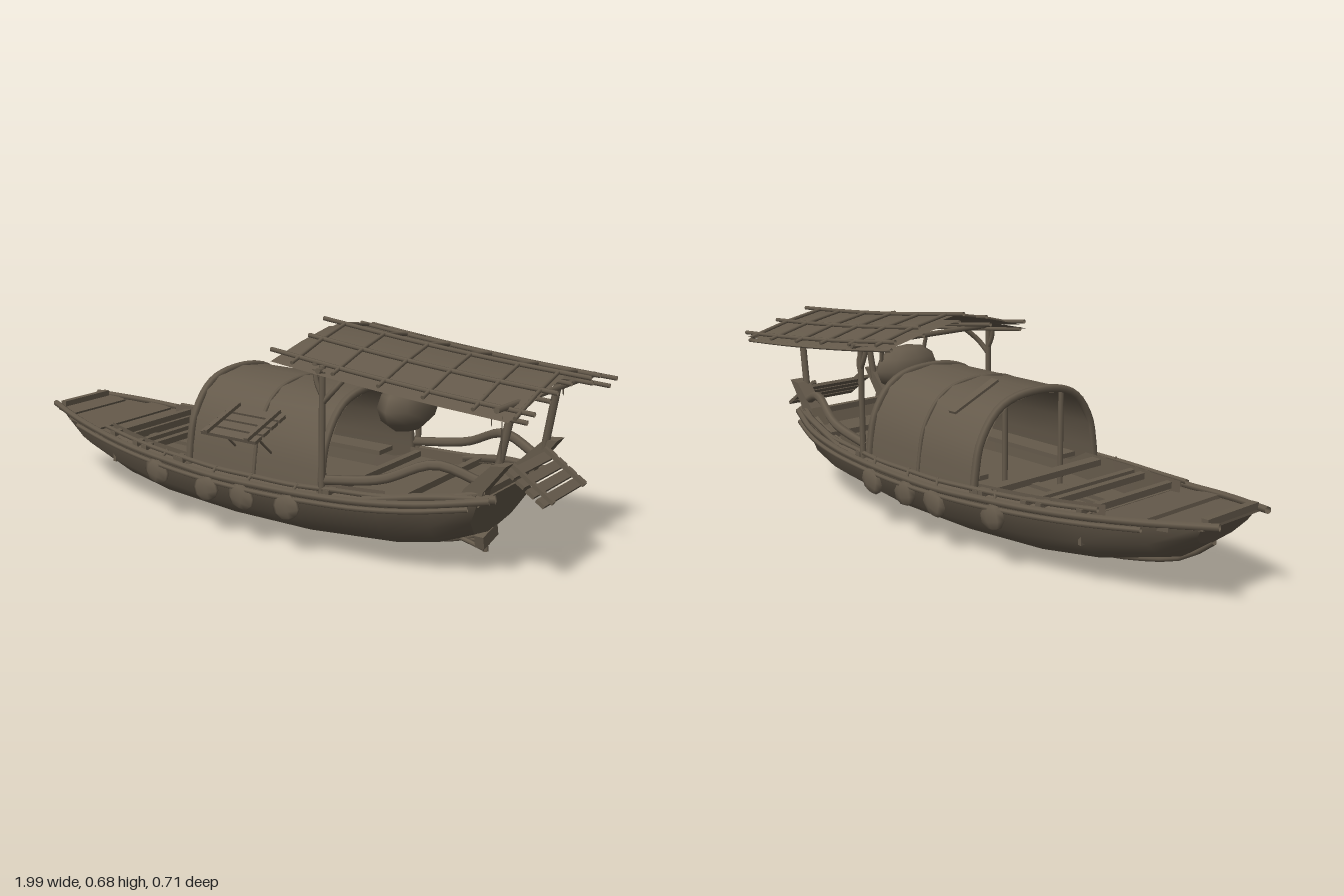
import * as THREE from 'three';

// hull stations: x at sheer, x at keel, sheer height, keel height, half width
const ST = [
  [-0.95, -0.9, 0.25, 0.17, 0.12], [-0.8, -0.8, 0.235, 0.1, 0.175], [-0.6, -0.6, 0.215, 0.045, 0.225],
  [-0.4, -0.4, 0.205, 0.02, 0.27], [-0.1, -0.1, 0.195, 0.01, 0.305], [0.2, 0.2, 0.195, 0.012, 0.305],
  [0.5, 0.5, 0.21, 0.035, 0.28], [0.65, 0.63, 0.23, 0.06, 0.25], [0.78, 0.72, 0.25, 0.1, 0.2]];
// hull half section: share of half width, share of height
const PROFILE = [[1, 1], [0.92, 0.55], [0.7, 0.3], [0.57, 0.17], [0, 0]];
// awning section: position across, drop below the ridge
const ACROSS = [-1, -0.5, 0, 0.5, 1];
const DROP = [-0.062, -0.026, 0, -0.026, -0.062];

// sheer height and half width at any x
function at(x) {
  let i = 0;
  while (i < ST.length - 2 && x > ST[i + 1][0]) i++;
  const a = ST[i], b = ST[i + 1], t = (x - a[0]) / (b[0] - a[0]);
  return { y: a[2] + (b[2] - a[2]) * t, w: a[4] + (b[4] - a[4]) * t };
}

// point on the awning at length x and position u across, raised by lift
function roofAt(x, u, lift = 0) {
  const k = Math.max(0, Math.min(3, Math.floor((u + 1) * 2)));
  const t = (u - ACROSS[k]) / 0.5;
  const ridge = 0.66 - 0.09 * (x - 0.15) + 0.045 * (x - 0.15) * (x - 0.95);
  return [x, ridge + DROP[k] + (DROP[k + 1] - DROP[k]) * t + lift, u * 0.3 - 0.01 - 0.02 * (x - 0.5)];
}

export function createModel() {
  const root = new THREE.Group();
  const boat = new THREE.Group();
  boat.name = 'boat';
  boat.position.z = -0.025;
  root.add(boat);
  const wood = new THREE.MeshStandardMaterial({ color: 0x655a4b, side: THREE.DoubleSide });
  wood.name = 'weathered brown wood';

  const add = (name, geo, parent = boat) => {
    const m = new THREE.Mesh(geo, wood);
    m.name = name;
    parent.add(m);
    return m;
  };
  const box = (name, w, h, d, x, y, z, parent) => {
    const m = add(name, new THREE.BoxGeometry(w, h, d), parent);
    m.position.set(x, y, z);
    return m;
  };
  const pole = (name, a, b, r) => {
    const p = new THREE.Vector3(...a), q = new THREE.Vector3(...b);
    const m = add(name, new THREE.CylinderGeometry(r, r, p.distanceTo(q), 7));
    m.position.copy(p).add(q).multiplyScalar(0.5);
    m.quaternion.setFromUnitVectors(new THREE.Vector3(0, 1, 0), q.sub(p).normalize());
  };
  const tube = (name, pts, r, seg = 24) => add(name, new THREE.TubeGeometry(
    new THREE.CatmullRomCurve3(pts.map(p => new THREE.Vector3(...p))), seg, r, 6));
  // skin through rows of points
  const loft = (name, rows) => {
    const n = rows[0].length, idx = [];
    for (let i = 0; i < rows.length - 1; i++) for (let j = 0; j < n - 1; j++) {
      const a = i * n + j, b = a + n;
      idx.push(a, a + 1, b, b, a + 1, b + 1);
    }
    const g = new THREE.BufferGeometry();
    g.setAttribute('position', new THREE.Float32BufferAttribute(rows.flat(2), 3));
    g.setIndex(idx);
    g.computeVertexNormals();
    add(name, g);
  };

  // hull, bow plate, transom, keel
  const rows = ST.map(([xt, xb, yt, yb, w]) => {
    const half = PROFILE.map(([fw, fy]) => [xb + (xt - xb) * fy, yb + (yt - yb) * fy, w * fw]);
    return [...half, ...half.slice(0, -1).reverse().map(([x, y, z]) => [x, y, -z])];
  });
  loft('hull', rows);
  for (const [name, r] of [['bowPlate', rows[0]], ['transom', rows[8]]])
    loft(name, [r.map(p => [r[0][0], r[0][1], p[2]]), r]);
  tube('keel', ST.map(s => [s[1], s[3], 0]), 0.011);

  for (const s of [-1, 1]) {
    // gunwale poles following the sheer
    const line = (dw, dy, x0, x1) => Array.from({ length: 11 }, (_, i) => {
      const x = x0 + (x1 - x0) * i / 10, p = at(x);
      return [x, p.y + dy, s * (p.w + dw)];
    });
    tube('gunwale', line(0.002, 0.004, -0.995, 0.81), 0.011, 36);
    tube('rubbingStrake', line(0.012, -0.014, -0.8, 0.76), 0.008, 36);
    tube('innerRail', line(-0.02, 0.022, -0.65, 0.79), 0.008, 36);
    // side decks and coaming
    loft('sideDeck', [line(0, 0, -0.62, 0.76), line(-0.05, 0.012, -0.62, 0.76)]);
    loft('coaming', [line(-0.05, 0.03, -0.65, 0.5), line(-0.055, -0.07, -0.65, 0.5)]);
    // fender bundles hanging from the sides
    [-0.33, -0.1, 0.04, 0.21].forEach((x, i) => {
      const p = at(x);
      const f = add('fender', new THREE.SphereGeometry(1, 7, 5));
      f.scale.set(0.052, 0.04, 0.014);
      f.position.set(x, p.y - 0.04, s * (p.w + 0.012));
      f.rotation.z = i % 2 ? 0.3 : -0.25;
      pole('fenderRope', [x, p.y - 0.02, s * (p.w + 0.012)], [x + 0.02, p.y + 0.03, s * (p.w - 0.02)], 0.005);
    });
  }

  // stepped foredeck planks, floors and cross beams
  for (let i = 0; i < 4; i++) {
    const x = -0.915 + i * 0.088, p = at(x);
    box('foredeckPlank', 0.086, 0.012, p.w * 2 - 0.01, x, p.y - 0.003 - (i % 2) * 0.008, 0).rotation.z = -0.13;
  }
  const floor = (name, x0, x1, y, inset) => loft(name, [-1, 1].map(s => Array.from({ length: 7 }, (_, i) => {
    const x = x0 + (x1 - x0) * i / 6;
    return [x, y, -s * (at(x).w - inset)];
  })));
  floor('wellFloor', -0.62, 0.32, 0.14, 0.03);
  floor('aftDeck', 0.3, 0.76, 0.205, 0.02);
  for (let i = 0; i < 5; i++) box('floorPlank', 0.38, 0.01, 0.06, -0.41, 0.147 + (i % 2) * 0.006, (i - 2) * 0.075);
  box('loosePlank', 0.26, 0.012, 0.035, -0.46, 0.185, 0.03);
  box('loosePlank', 0.2, 0.012, 0.03, -0.32, 0.2, -0.06);
  for (const x of [-0.95, -0.6, -0.47, -0.42, -0.26, -0.24, 0.33, 0.55, 0.76]) {
    const p = at(x);
    box('crossBeam', 0.022, 0.02, p.w * 2 - 0.02, x, p.y + 0.012, 0);
  }
  box('wellBulkhead', 0.012, 0.08, 0.42, -0.6, 0.17, 0);

  // arched cabin with hoops
  const arch = [[0.262, 0.2], [0.253, 0.27], [0.235, 0.35], [0.18, 0.43], [0.12, 0.465], [0, 0.48]];
  const fullArch = [...arch, ...arch.slice(0, -1).reverse().map(([z, y]) => [-z, y])];
  const shell = [-0.22, 0.04, 0.3].map(x => fullArch.map(([z, y]) => [x, y, z]));
  loft('cabinShell', shell);
  loft('cabinLining', shell.map(r => r.map(([x, y, z]) => [x, y - 0.012, z * 0.95])));
  for (const [x, r] of [[-0.215, 0.013], [0.045, 0.007], [0.295, 0.013]])
    tube('cabinHoop', fullArch.map(([z, y]) => [x, y - 0.004, z]), r, 30);
  box('roofStrap', 0.03, 0.008, 0.19, -0.1, 0.462, -0.155).rotation.x = -0.4;
  for (const s of [-1, 1]) {
    pole('cabinDoorPost', [-0.2, 0.14, s * 0.12], [-0.2, 0.46, s * 0.12], 0.009);
    box('cabinBench', 0.4, 0.015, 0.08, 0.04, 0.22, s * 0.19);
  }

  // slatted panels: window shutter and stern rack
  const slats = (name, len, depth, n) => {
    const g = new THREE.Group();
    g.name = name;
    boat.add(g);
    for (let i = 0; i < n; i++)
      box('slat', len, 0.011, depth / n * 0.78, 0, 0, (i + 0.5) * depth / n - depth / 2, g);
    for (const s of [-1, 1]) box('runner', 0.014, 0.012, depth * 1.04, s * len * 0.37, 0.011, 0, g);
    return g;
  };
  const shutter = slats('windowShutter', 0.21, 0.165, 4);
  shutter.position.set(0.035, 0.378, 0.297);
  shutter.rotation.x = 0.33;
  for (const s of [-1, 1])
    pole('shutterStay', [0.035 + s * 0.07, 0.29, 0.25], [0.035 + s * 0.07, 0.362, 0.33], 0.004);
  const rack = slats('sternRack', 0.28, 0.15, 4);
  rack.position.set(0.89, 0.295, 0);
  rack.rotation.y = Math.PI / 2;
  rack.rotateX(0.6);

  // stern horns, awning posts, side braces
  const horn = new THREE.Shape([[0.7, 0.22], [0.78, 0.235], [0.79, 0.28], [0.855, 0.365], [0.81, 0.36], [0.73, 0.28]]
    .map(p => new THREE.Vector2(...p)));
  for (const s of [-1, 1]) {
    const h = add('sternHorn', new THREE.ExtrudeGeometry(horn, { depth: 0.05, bevelEnabled: false }));
    h.position.z = s * 0.165 - 0.025;
    pole('rearPost', [0.81, 0.33, s * 0.15], [0.85, 0.56, s * 0.14], 0.012);
    pole('frontPost', [0.31, 0.19, s * 0.275], [0.31, 0.59, s * 0.275], 0.01);
    tube('postFork', [[0.31, 0.48, s * 0.275], [0.34, 0.52, s * 0.26], [0.37, 0.58, s * 0.2]], 0.009, 8);
    tube('postFork', [[0.31, 0.5, s * 0.275], [0.29, 0.54, s * 0.275], [0.28, 0.595, s * 0.27]], 0.008, 8);
    tube('sideBrace', [[0.3, 0.245, s * 0.265], [0.5, 0.28, s * 0.25], [0.65, 0.34, s * 0.21], [0.78, 0.3, s * 0.17]], 0.015, 16);
    tube('quarterRail', [[0.45, 0.215, s * 0.27], [0.65, 0.25, s * 0.23], [0.82, 0.26, s * 0.17]], 0.013, 12);
  }

  // sagging awning with a lattice of poles
  const sheet = (name, x0, x1, lift) => loft(name, Array.from({ length: 5 }, (_, i) =>
    ACROSS.map(u => roofAt(x0 + (x1 - x0) * i / 4, u, lift))));
  sheet('awning', 0.17, 0.92, 0);
  sheet('awningUnderside', 0.14, 0.9, -0.014);
  [-0.93, -0.5, 0, 0.45, 0.9].forEach((u, i) => {
    const xs = [i % 2 ? 0.16 : 0.12, 0.4, 0.7, i === 2 ? 0.995 : 0.96];
    tube('awningPole', xs.map(x => roofAt(x, u, 0.006)), 0.007, 12);
    tube('awningLowerPole', [0.14, 0.4, 0.7, 0.94].map(x => roofAt(x, u, -0.02)), 0.007, 12);
  });
  for (const x of [0.2, 0.34, 0.49, 0.63, 0.78, 0.9]) for (let k = 0; k < 4; k++)
    pole('awningRib', roofAt(x + (k - 2) * 0.012, ACROSS[k] * 1.04, 0.007),
      roofAt(x + (k - 1) * 0.012, ACROSS[k + 1] * 1.04, 0.007), 0.006);
  pole('rearCrossPole', [0.88, 0.535, -0.32], [0.88, 0.55, 0.31], 0.009);
  pole('frontCrossPole', [0.31, 0.578, -0.31], [0.31, 0.578, 0.3], 0.009);

  // hanging bundle and cloths under the awning
  const bundle = add('hangingBundle', new THREE.SphereGeometry(1, 8, 6));
  bundle.scale.set(0.075, 0.08, 0.13);
  bundle.position.set(0.445, 0.445, 0.02);
  for (const s of [-1, 1]) pole('bundleRope', [0.445, 0.48, s * 0.09], [0.42, 0.61, s * 0.1], 0.007);
  loft('saggingCloth', [[0.55, 0.585], [0.7, 0.52], [0.84, 0.545]].map(([x, y], i) =>
    [[x, 0.565 - i * 0.005, -0.13], [x, y, 0], [x, 0.565 - i * 0.005, 0.15]]));
  for (const [x, z, l] of [[0.87, 0.255, 0.15], [0.8, 0.18, 0.08], [0.84, -0.19, 0.06]])
    loft('clothStrip', [[[x - 0.012, 0.55, z - 0.025], [x + 0.012, 0.55, z + 0.025]],
      [[x - 0.01, 0.55 - l * 0.6, z - 0.016], [x + 0.012, 0.55 - l * 0.6, z + 0.018]],
      [[x, 0.55 - l, z - 0.002], [x + 0.006, 0.55 - l, z + 0.006]]]);

  // rudder
  pole('rudderArm', [0.58, 0.065, 0], [0.72, 0.065, 0], 0.009);
  pole('rudderStay', [0.6, 0.07, 0.01], [0.71, 0.045, 0.01], 0.007);
  pole('rudderPost', [0.7, 0.12, 0], [0.71, 0.035, 0], 0.009);
  box('rudderBlade', 0.03, 0.04, 0.09, 0.71, 0.085, 0).rotation.x = 0.25;
  return root;
}
